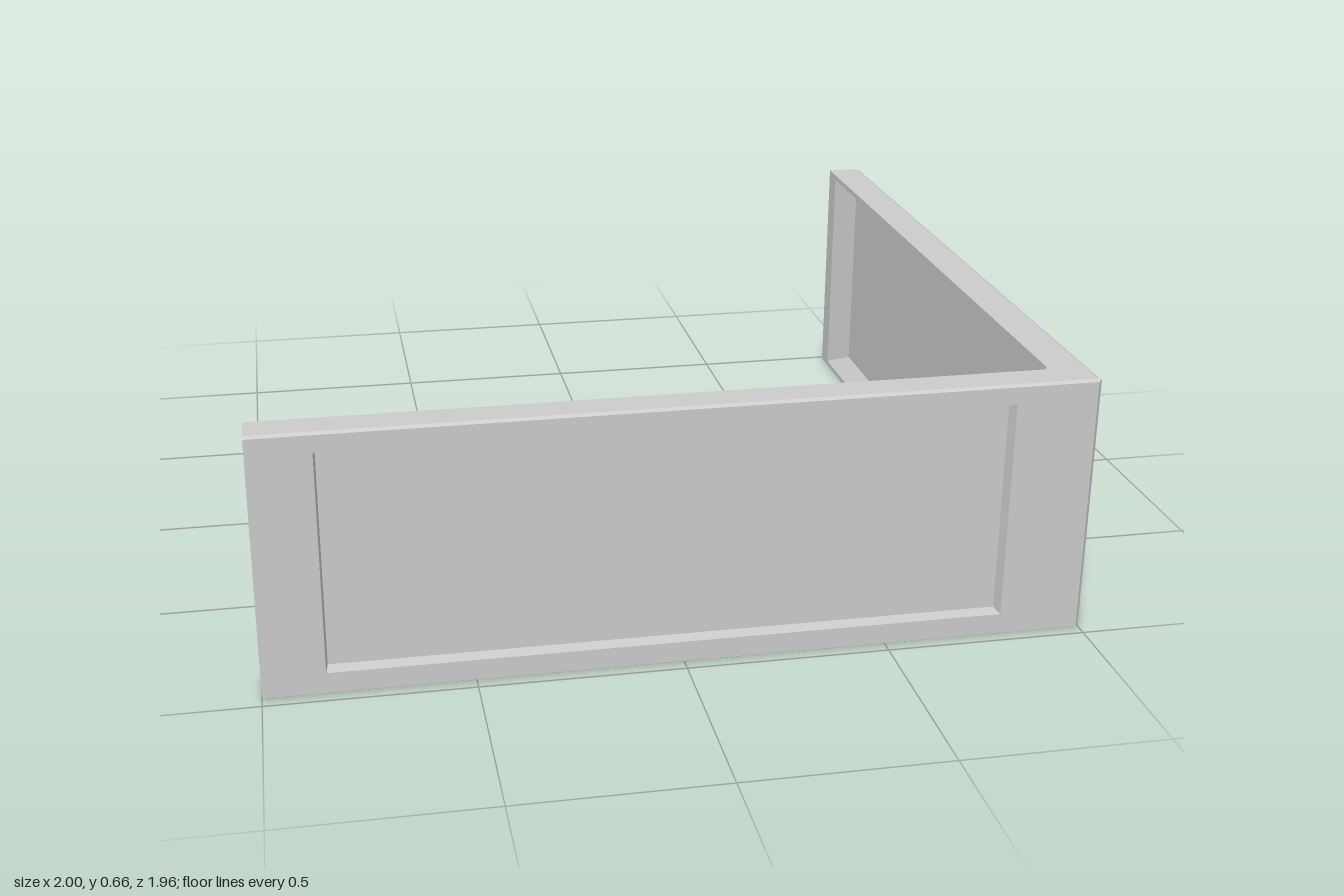
import * as THREE from 'three';

const H = 0.66;                       // wall height
const material = new THREE.MeshStandardMaterial({ color: 0xcccccc, flatShading: true, side: THREE.DoubleSide });

// Lofts nested rectangles [u0, u1, y0, y1, depth] from the outer panel to the inner panel.
// openStep is the step whose corner side stays open, where the two walls join.
function loftWall(sections, toPoint, flip, openStep) {
  const pos = [];
  const rings = sections.map(([u0, u1, y0, y1, d]) =>
    [[u0, y0], [u1, y0], [u1, y1], [u0, y1]].map(([u, y]) => toPoint(u, y, d)));
  const quad = (a, b, c, d) => {
    const tris = flip ? [a, c, b, a, d, c] : [a, b, c, a, c, d];
    tris.forEach(p => pos.push(...p));
  };
  quad(...rings[0]);
  for (let i = 0; i < rings.length - 1; i++) {
    const a = rings[i], b = rings[i + 1];
    for (let k = 0; k < 4; k++) {
      if (i === openStep && k === 1) continue;
      const n = (k + 1) % 4;
      quad(a[k], b[k], b[n], a[n]);
    }
  }
  quad(...rings[rings.length - 1].slice().reverse());
  const geometry = new THREE.BufferGeometry();
  geometry.setAttribute('position', new THREE.Float32BufferAttribute(pos, 3));
  geometry.computeVertexNormals();
  return geometry;
}

// A framed wall: free end, corner end, corner end inside, thickness, panel start and end.
function wallSections(end, cornerBevel, corner, inside, t, p0, p1) {
  return [
    [p0 + 0.005, p1 - 0.008, 0.064, 0.606, 0.03],      // outer panel
    [p0, p1, 0.058, 0.612, 0],                         // outer opening
    [end, cornerBevel, 0.006, H - 0.005, 0],           // outer frame face
    [end, corner, 0, H, 0.01],                         // bevelled edge
    [end, inside, 0, H, t],                            // inner frame face
    [end + 0.065, inside - 0.04, 0.015, H - 0.015, t], // inner rim
    [p0, p1 - 0.02, 0.06, 0.61, t - 0.045],            // inner panel
  ];
}

export function createModel() {
  const model = new THREE.Group();
  const add = (name, geometry) => {
    const mesh = new THREE.Mesh(geometry, material);
    mesh.name = name;
    model.add(mesh);
    return mesh;
  };

  add('frontWall', loftWall(
    wallSections(-1, 0.99, 1, 0.9, 0.09, -0.85, 0.79),
    (u, y, d) => [u, y, 0.975 - d], false, 3));

  add('sideWall', loftWall(
    wallSections(-0.985, 0.965, 0.965, 0.885, 0.1, -0.83, 0.815),
    (u, y, d) => [1 - d, y, u], true, 3));

  // Rounded fillet in the inside corner
  const r = 0.02;
  const shape = new THREE.Shape();
  shape.moveTo(0, 0);
  shape.lineTo(-r, 0);
  shape.quadraticCurveTo(0, 0, 0, r);
  shape.closePath();
  const fillet = add('cornerFillet', new THREE.ExtrudeGeometry(shape, { depth: H, bevelEnabled: false, curveSegments: 4 }));
  fillet.rotation.x = -Math.PI / 2;
  fillet.position.set(0.9, 0, 0.885);

  return model;
}
